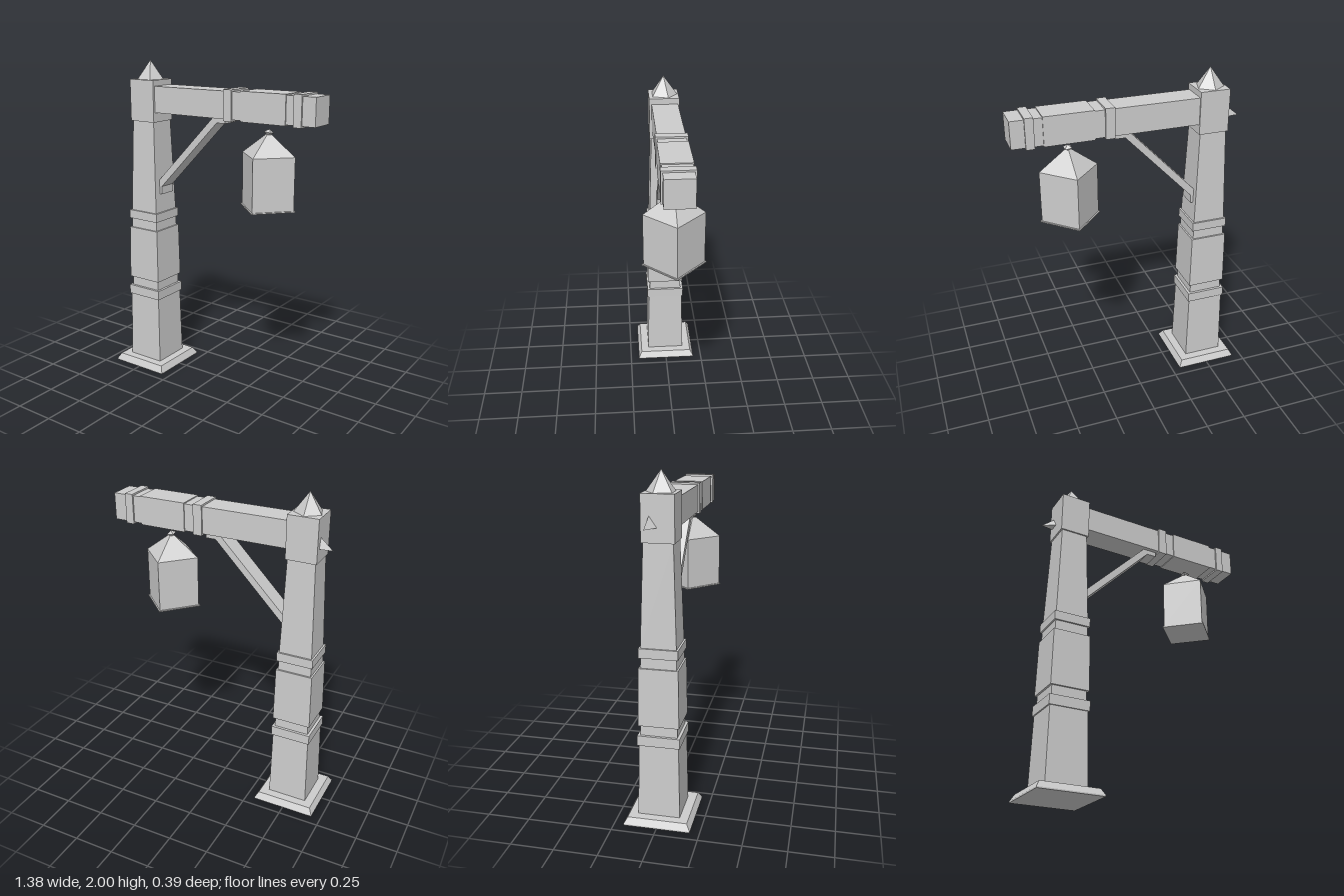
import * as THREE from 'three';

const SQ = Math.SQRT2;

export function createModel() {
  const model = new THREE.Group();
  model.name = 'hangingLanternPost';
  const grey = new THREE.MeshStandardMaterial({ color: 0xcccccc });
  grey.name = 'plain grey';
  grey.flatShading = true;

  const add = (parent, name, geometry, x = 0, y = 0, z = 0) => {
    const mesh = new THREE.Mesh(geometry, grey);
    mesh.name = name;
    mesh.position.set(x, y, z);
    parent.add(mesh);
    return mesh;
  };
  const group = (name, x, z) => {
    const g = new THREE.Group();
    g.name = name;
    g.position.set(x, 0, z);
    model.add(g);
    return g;
  };
  // Square tapered block from y0 to y1 with half widths h0 and h1
  const block = (parent, name, y0, y1, h0, h1 = h0) => {
    const geo = new THREE.CylinderGeometry(h1 * SQ, h0 * SQ, y1 - y0, 4).rotateY(Math.PI / 4);
    return add(parent, name, geo, 0, (y0 + y1) / 2, 0);
  };

  // Post: stacked tapered blocks
  const post = group('post', -0.498, 0);
  [
    ['baseFoot', 0, 0.008, 0.194, 0.194],
    ['baseSlope', 0.008, 0.045, 0.194, 0.173],
    ['lowerShaft', 0.045, 0.48, 0.122, 0.114],
    ['lowerBand', 0.48, 0.54, 0.122, 0.122],
    ['lowerNeck', 0.54, 0.6, 0.106, 0.105],
    ['middleShaft', 0.6, 0.94, 0.117, 0.112],
    ['upperNeck', 0.94, 1.0, 0.102, 0.1],
    ['upperBand', 1.0, 1.055, 0.111, 0.111],
    ['upperShaft', 1.055, 1.63, 0.1, 0.082],
    ['headBlock', 1.63, 1.885, 0.091, 0.091],
  ].forEach(([name, ...dims]) => block(post, name, ...dims));

  // Five-sided finial, one corner to the back
  const finial = new THREE.ConeGeometry(0.084, 0.115, 5).rotateY(Math.PI);
  add(post, 'finial', finial, 0, 1.9425, 0);

  // Three-sided spike on the outer face of the head
  const tip = [-0.665, 1.71, -0.055];
  const a = [-0.585, 1.775, -0.045], b = [-0.585, 1.71, -0.065], c = [-0.585, 1.71, 0.0];
  const spike = new THREE.BufferGeometry();
  spike.setAttribute('position', new THREE.Float32BufferAttribute(
    [tip, a, b, tip, c, a, tip, b, c, a, c, b].flat(), 3));
  spike.computeVertexNormals();
  add(model, 'spike', spike);

  // Beam with two bands and a thicker sleeve between them
  const beam = group('beam', 0, -0.003);
  [
    ['beamBar', -0.42, 0.69, 0.08],
    ['innerBand', 0.105, 0.16, 0.09],
    ['sleeve', 0.22, 0.51, 0.086],
    ['outerBand', 0.56, 0.61, 0.09],
  ].forEach(([name, x0, x1, h]) =>
    add(beam, name, new THREE.BoxGeometry(x1 - x0, h * 2, h * 2), (x0 + x1) / 2, 1.77, 0));

  // Diagonal brace with flat ends against post and beam
  const profile = new THREE.Shape([
    [-0.415, 1.175], [-0.386, 1.175], [-0.386, 1.225], [0.035, 1.66],
    [0.096, 1.66], [0.096, 1.692], [0.01, 1.692], [-0.415, 1.255],
  ].map(([x, y]) => new THREE.Vector2(x, y)));
  const brace = new THREE.ExtrudeGeometry(profile, { depth: 0.11, bevelEnabled: false });
  add(model, 'brace', brace, 0, 0, -0.058);

  // Lantern: square, corner to the front
  const lantern = group('lantern', 0.358, -0.002);
  lantern.rotation.y = Math.PI / 4 + 0.02;
  const r = 0.173 / SQ;
  block(lantern, 'lanternRim', 1.184, 1.191, 0.184 / SQ);
  block(lantern, 'lanternBody', 1.191, 1.5, r);
  block(lantern, 'lanternRoof', 1.5, 1.615, r, 0.014);

  // Small faceted knob on the roof
  const knob = add(lantern, 'lanternKnob', new THREE.OctahedronGeometry(0.03), 0, 1.627, 0);
  knob.scale.set(1, 0.65, 1);
  knob.rotation.z = -0.2;

  return model;
}
